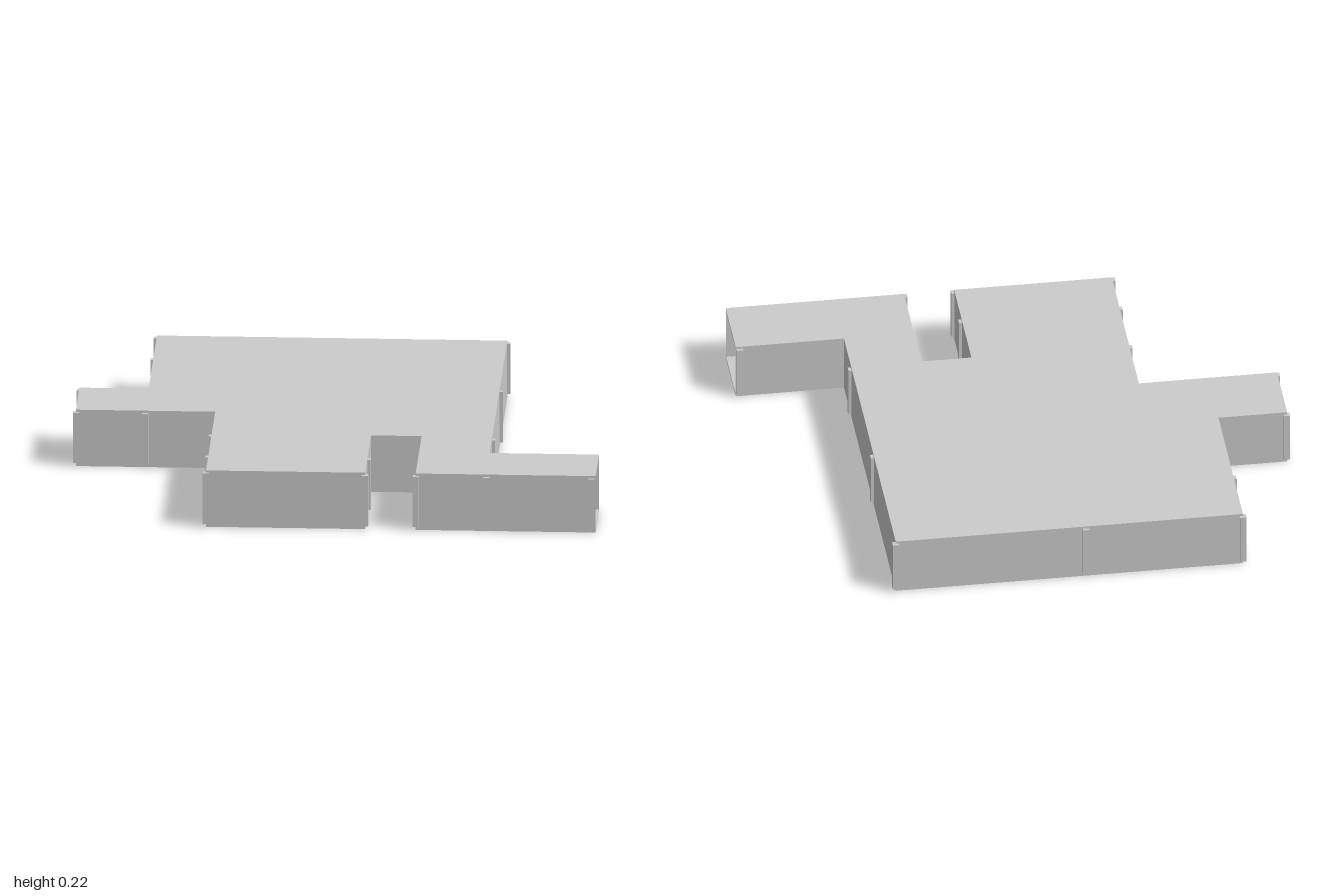
import * as THREE from 'three';

const HEIGHT = 0.222, SLAB = 0.008, WALL = 0.01, POST = 0.024;

// Floor plan as [x, z] corners, walked with the interior on the right-hand side
const PLAN = [
  [-0.73, -0.82], [0.585, -0.82], [0.585, 0.553], [0.995, 0.553], [0.995, 0.817],
  [0.32, 0.817], [0.32, 0.36], [0.13, 0.36], [0.13, 0.817], [-0.467, 0.817],
  [-0.467, 0.1], [-0.99, 0.1], [-0.99, -0.17], [-0.73, -0.17],
];
const OPEN_EDGE = 3;   // open mouth of the east corridor
const ARCH_EDGE = 11;  // arched doorway of the west corridor

const POSTS = [
  [-0.73, -0.82], [-0.135, -0.82], [0.585, -0.82], [-0.73, -0.56],
  [-0.988, -0.17], [-0.988, 0.098], [-0.73, 0.098], [-0.467, 0.36],
  [-0.467, 0.62], [-0.467, 0.817], [0.13, 0.817], [0.13, 0.62],
  [0.32, 0.817], [0.585, 0.817], [0.98, 0.817], [0.98, 0.553],
  [0.585, 0.36], [0.585, -0.23],
];

export function createModel() {
  const model = new THREE.Group();
  const material = new THREE.MeshStandardMaterial({ color: 0xcccccc, flatShading: true });
  const add = (name, geometry, parent = model) => {
    const mesh = new THREE.Mesh(geometry, material);
    mesh.name = name;
    parent.add(mesh);
    return mesh;
  };

  // Floor and ceiling slabs
  const plan = new THREE.Shape(PLAN.map(([x, z]) => new THREE.Vector2(x, -z)));
  const slab = new THREE.ExtrudeGeometry(plan, { depth: SLAB, bevelEnabled: false });
  slab.rotateX(-Math.PI / 2);
  add('floor', slab);
  add('ceiling', slab).position.y = HEIGHT - SLAB;

  // Thin walls set just inside the plan edges
  const wallHeight = HEIGHT - 2 * SLAB;
  const walls = new THREE.Group();
  walls.name = 'walls';
  model.add(walls);
  PLAN.forEach(([x0, z0], i) => {
    if (i === OPEN_EDGE) return;
    const [x1, z1] = PLAN[(i + 1) % PLAN.length];
    const length = Math.hypot(x1 - x0, z1 - z0);
    const geometry = i === ARCH_EDGE
      ? archedWall(length, wallHeight)
      : new THREE.BoxGeometry(length, wallHeight, WALL).translate(length / 2, wallHeight / 2, WALL / 2);
    const wall = add(i === ARCH_EDGE ? 'archedDoorWall' : 'wall', geometry, walls);
    wall.position.set(x0, SLAB, z0);
    wall.rotation.y = -Math.atan2(z1 - z0, x1 - x0);
  });

  // Square posts on the corners and panel joints
  const posts = new THREE.Group();
  posts.name = 'posts';
  model.add(posts);
  const postGeometry = new THREE.BoxGeometry(POST, 0.198, POST);
  for (const [x, z] of POSTS) add('post', postGeometry, posts).position.set(x, 0.114, z);

  return model;
}

// Wall panel with a round-topped doorway reaching the floor
function archedWall(length, height) {
  const radius = 0.064, spring = 0.11, mid = length / 2;
  const shape = new THREE.Shape();
  shape.moveTo(0, 0);
  shape.lineTo(mid - radius, 0);
  shape.lineTo(mid - radius, spring);
  shape.absarc(mid, spring, radius, Math.PI, 0, true);
  shape.lineTo(mid + radius, 0);
  shape.lineTo(length, 0);
  shape.lineTo(length, height);
  shape.lineTo(0, height);
  return new THREE.ExtrudeGeometry(shape, { depth: WALL, bevelEnabled: false, curveSegments: 8 });
}
